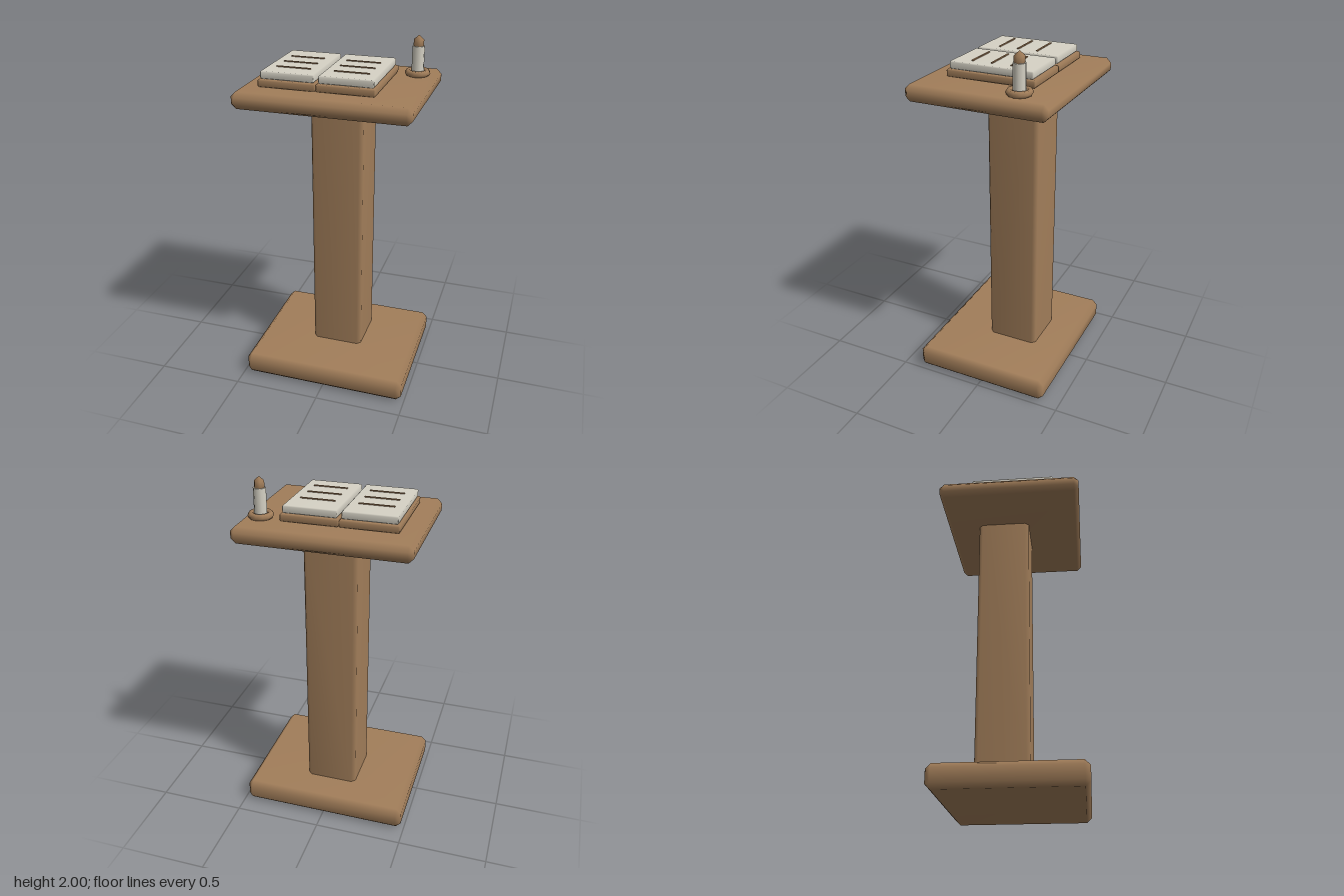
import * as THREE from 'three';
import { mergeVertices } from 'three/addons/utils/BufferGeometryUtils.js';
import { ConvexGeometry } from 'three/addons/geometries/ConvexGeometry.js';

const wood = new THREE.MeshStandardMaterial({ color: 0xa27e5a });
wood.name = 'wood';
const paper = new THREE.MeshStandardMaterial({ color: 0xd6d2c5 });
paper.name = 'paper';

// Box with one smooth-shaded chamfer along every edge
function chamferBox(w, h, d, c) {
  const points = [];
  for (const sx of [-1, 1]) for (const sy of [-1, 1]) for (const sz of [-1, 1]) {
    const x = w / 2, y = h / 2, z = d / 2;
    points.push(
      new THREE.Vector3(sx * x, sy * (y - c), sz * (z - c)),
      new THREE.Vector3(sx * (x - c), sy * y, sz * (z - c)),
      new THREE.Vector3(sx * (x - c), sy * (y - c), sz * z)
    );
  }
  let geometry = new ConvexGeometry(points);
  geometry.deleteAttribute('normal');
  geometry = mergeVertices(geometry, 1e-4);
  geometry.computeVertexNormals();
  return geometry;
}

function add(parent, name, geometry, material, x, y, z) {
  const mesh = new THREE.Mesh(geometry, material);
  mesh.name = name;
  mesh.position.set(x, y, z);
  parent.add(mesh);
  return mesh;
}

export function createModel() {
  const model = new THREE.Group();
  model.name = 'lectern';

  // Stand
  add(model, 'base', chamferBox(0.96, 0.13, 0.8, 0.028), wood, 0, 0.065, 0);
  add(model, 'column', chamferBox(0.3, 1.65, 0.3, 0.022), wood, 0, 0.91, -0.06);
  add(model, 'desktop', chamferBox(0.96, 0.092, 0.8, 0.026), wood, 0, 1.732, 0);

  // Open book: two covers, each with a page block and three lines
  const book = new THREE.Group();
  book.name = 'openBook';
  model.add(book);
  for (const x of [-0.217, 0.102]) {
    add(book, 'cover', chamferBox(0.317, 0.042, 0.508, 0.007), wood, x, 1.799, 0.013);
    add(book, 'pages', chamferBox(0.296, 0.042, 0.478, 0.006), paper, x, 1.841, 0.013);
    for (const z of [-0.083, 0.03, 0.142]) {
      add(book, 'textLine', new THREE.BoxGeometry(0.192, 0.008, 0.01), wood, x, 1.863, z);
    }
  }

  // Candle in a ring holder
  const candle = new THREE.Group();
  candle.name = 'candle';
  candle.position.set(0.375, 0, -0.21);
  model.add(candle);
  const ring = new THREE.TorusGeometry(0.053, 0.018, 6, 12).rotateX(-Math.PI / 2);
  add(candle, 'holderRing', ring, wood, 0, 1.795, 0);
  add(candle, 'wax', new THREE.CylinderGeometry(0.034, 0.034, 0.165, 10), paper, 0, 1.8585, 0);
  add(candle, 'flame', new THREE.SphereGeometry(1, 6, 3).scale(0.033, 0.05, 0.033), wood, 0, 1.95, 0);

  return model;
}
